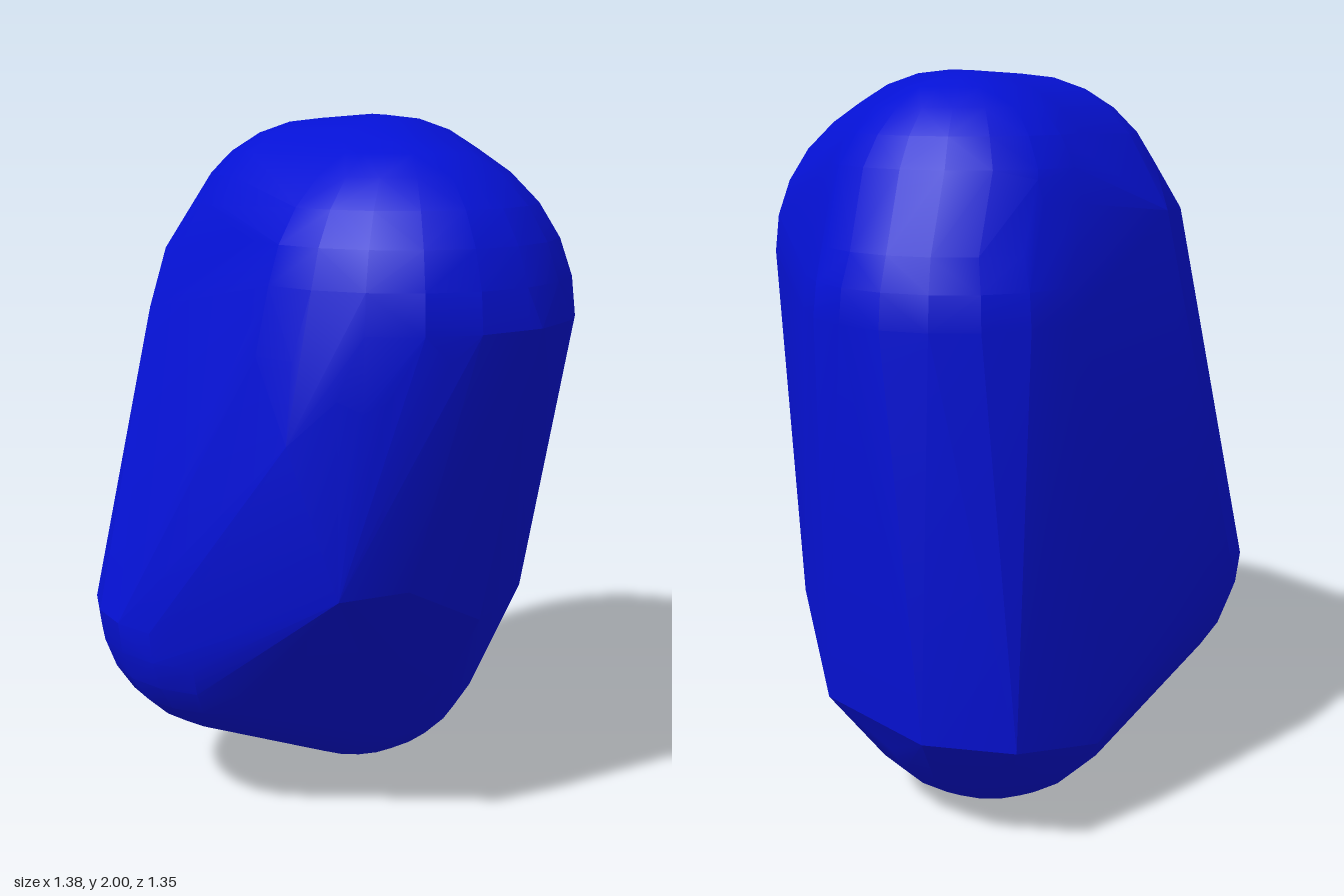
import * as THREE from 'three';
import { ConvexGeometry } from 'three/addons/geometries/ConvexGeometry.js';
import { toCreasedNormals } from 'three/addons/utils/BufferGeometryUtils.js';

// Domed lobes of the stone: x, y, z, radius
const UPPER_DOMES = [
  [0.21, 1.6, -0.2, 0.4],      // top
  [-0.01, 1.59, -0.17, 0.4],   // top, right side
  [0.03, 1.6, 0.06, 0.4],      // top, towards the front
  [0.295, 1.41, -0.24, 0.395], // left shoulder
  [-0.04, 1.49, 0.2, 0.465],   // front brow
  [-0.14, 1.33, 0.19, 0.4],    // right of the brow
];
const LOWER_DOMES = [
  [-0.28, 0.62, -0.26, 0.41],  // right hip
  [0.16, 0.42, -0.23, 0.42],   // base
];

// Single corners where flat facets meet
const CORNERS = [
  // brow edge, right to left
  [-0.54, 1.21, 0.32], [-0.42, 1.3, 0.47], [-0.25, 1.42, 0.6], [0, 1.49, 0.67],
  [0.17, 1.49, 0.62], [0.22, 1.49, 0.57], [0.5, 1.49, 0.17],
  // lower front edge, right to left
  [-0.44, 0.8, 0.4], [-0.25, 0.8, 0.46], [0.07, 0.63, 0.41], [0.24, 0.65, 0.38],
  [0.5, 0.57, 0.17], [0.6, 0.35, -0.05], [0.6, 0.34, -0.42],
  // lower back
  [0.45, 0.33, -0.61], [0.17, 0.27, -0.64], [-0.18, 0.75, -0.675], [-0.36, 0.68, -0.665],
  // upper back edge
  [-0.44, 1.47, -0.42], [-0.36, 1.63, -0.45], [-0.24, 1.88, -0.32],
  [-0.22, 1.57, -0.54], [-0.12, 1.65, -0.59], [0.33, 1.75, -0.55],
];

function domePoints([x, y, z, r], start) {
  const dome = new THREE.SphereGeometry(r, 20, 7, 0, Math.PI * 2, start, Math.PI / 2);
  const pos = dome.translate(x, y, z).attributes.position;
  return Array.from({ length: pos.count }, (_, i) => new THREE.Vector3().fromBufferAttribute(pos, i));
}

export function createModel() {
  const group = new THREE.Group();
  group.name = 'stone';

  // Tight skin over all domes and corners
  const points = [
    ...UPPER_DOMES.flatMap((d) => domePoints(d, 0)),
    ...LOWER_DOMES.flatMap((d) => domePoints(d, Math.PI / 2)),
    ...CORNERS.map((c) => new THREE.Vector3(...c)),
  ];
  const skin = toCreasedNormals(new ConvexGeometry(points), 0.3);

  const body = new THREE.Mesh(skin, new THREE.MeshStandardMaterial({ color: 0x0511d4 }));
  body.name = 'stoneBody';
  group.add(body);
  return group;
}
